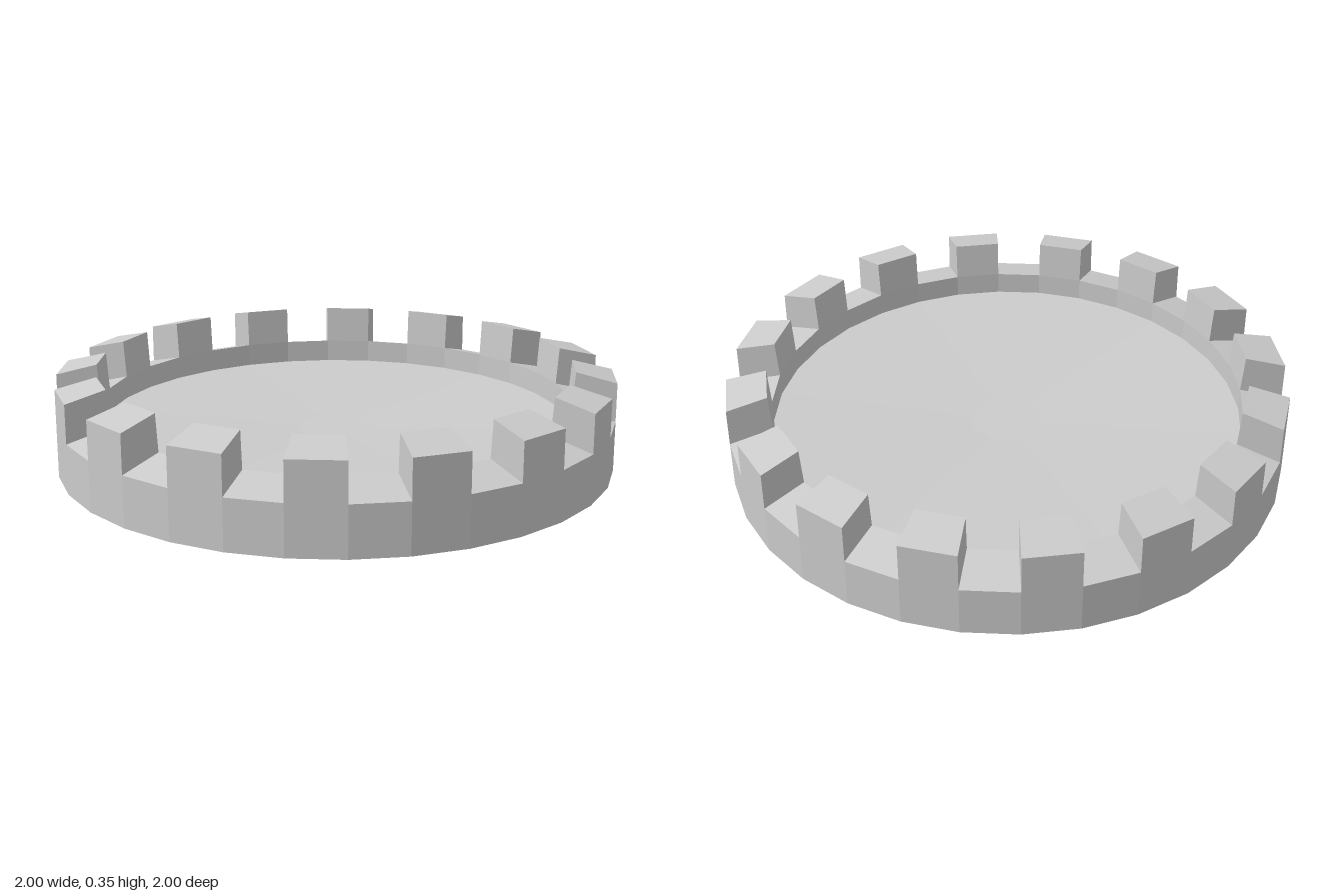
import * as THREE from 'three';
import { ConvexGeometry } from 'three/addons/geometries/ConvexGeometry.js';

const SIDES = 32;
const STEP = (Math.PI * 2) / SIDES;

export function createModel() {
  const model = new THREE.Group();
  model.name = 'crenellatedDisc';
  const material = new THREE.MeshStandardMaterial({ color: 0xcccccc, flatShading: true });

  // Base: flat underside, straight wall, sloping rim, shallow dished floor
  const profile = [
    [0, 0], [1, 0], [1, 0.18], [0.845, 0.22], [0.845, 0.137], [0.13, 0.115], [0, 0.115],
  ].map(([r, y]) => new THREE.Vector2(r, y));
  const base = new THREE.Mesh(new THREE.LatheGeometry(profile, SIDES), material);
  base.name = 'base';
  model.add(base);

  // One merlon fills one side of the rim; its top rises inwards
  const section = [[1, 0.18], [1, 0.32], [0.855, 0.355], [0.845, 0.22]];
  const corners = [-STEP, 0].flatMap((a) =>
    section.map(([r, y]) => new THREE.Vector3(r * Math.sin(a), y, r * Math.cos(a))));
  const merlonGeometry = new ConvexGeometry(corners);

  // Merlons on every second side
  const merlons = new THREE.Group();
  merlons.name = 'merlons';
  for (let i = 0; i < SIDES / 2; i++) {
    const merlon = new THREE.Mesh(merlonGeometry, material);
    merlon.name = `merlon${i + 1}`;
    merlon.rotation.y = i * 2 * STEP;
    merlons.add(merlon);
  }
  model.add(merlons);

  return model;
}
